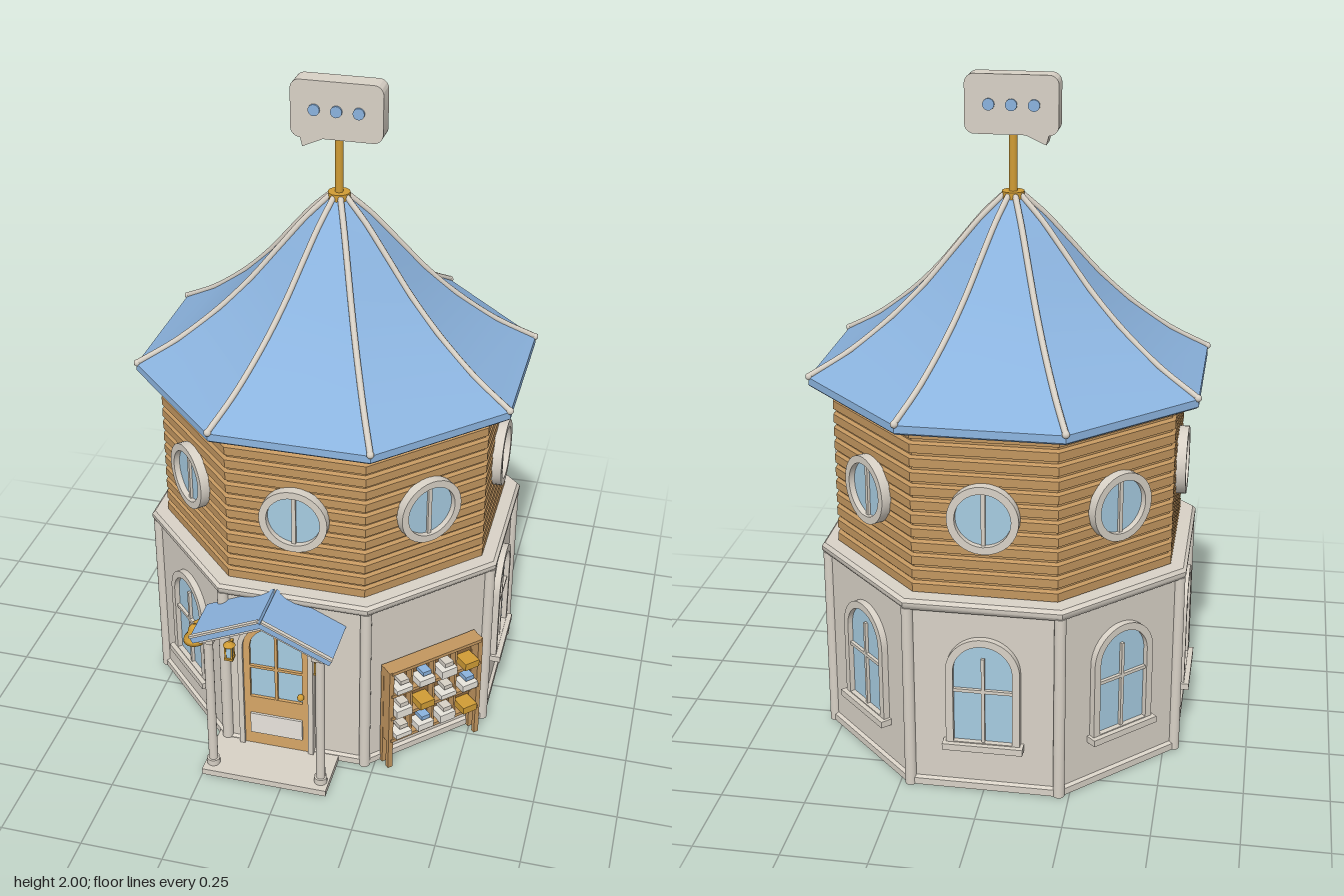
import * as THREE from 'three';
import { toCreasedNormals } from 'three/addons/utils/BufferGeometryUtils.js';

const paint = (name, color) => Object.assign(new THREE.MeshStandardMaterial({ color }), { name });
const M = {
  plaster: paint('plaster', 0xd8d1c6),
  roof: paint('roof blue', 0x8bb3de),
  siding: paint('siding wood', 0xc2965f),
  door: paint('door wood', 0xd6a666),
  dark: paint('dark wood', 0x8f6a40),
  gold: paint('brass', 0xd09c35),
  glass: paint('glass', 0xa6cbe0),
  white: paint('white', 0xeeeae2),
};
const COS = Math.cos(Math.PI / 8);
const WALL = 0.53, UPPER = 0.5, CZ = -0.065; // wall distances from the axis, axis position

function add(parent, name, geo, mat, x = 0, y = 0, z = 0) {
  const m = new THREE.Mesh(geo, mat);
  m.name = name;
  m.position.set(x, y, z);
  parent.add(m);
  return m;
}
function group(parent, name) {
  const g = new THREE.Group();
  g.name = name;
  parent.add(g);
  return g;
}
const box = (p, name, mat, w, h, d, x, y, z) => add(p, name, new THREE.BoxGeometry(w, h, d), mat, x, y, z);
const rod = (p, name, mat, r, h, x, y, z, r2 = r) => add(p, name, new THREE.CylinderGeometry(r, r2, h, 16), mat, x, y, z);
const v = (a) => new THREE.Vector3(...a);
const tube = (p, name, mat, pts, r, n = 24) =>
  add(p, name, new THREE.TubeGeometry(new THREE.CatmullRomCurve3(pts.map(v)), n, r, 8), mat);

// eight-sided solid from [distance to flat side, height] points, bottom to top
function octagon(p, name, mat, pts, crease = 0.3) {
  const geo = new THREE.LatheGeometry(pts.map(([a, y]) => new THREE.Vector2(a / COS, y)), 8, Math.PI / 8);
  return add(p, name, toCreasedNormals(geo, crease), mat);
}
function extrude(p, name, mat, shape, depth, z = 0) {
  const geo = new THREE.ExtrudeGeometry(shape, { depth, bevelEnabled: false, curveSegments: 16 });
  return add(p, name, toCreasedNormals(geo, 0.5), mat, 0, 0, z);
}
// round-headed outline
function arch(w, y0, y1, C = THREE.Shape) {
  const s = new C();
  s.moveTo(-w, y0);
  s.lineTo(w, y0);
  s.lineTo(w, y1 - w);
  s.absarc(0, y1 - w, w, 0, Math.PI, false);
  s.lineTo(-w, y0);
  return s;
}
function archFrame(p, name, mat, outer, inner, depth, z) {
  const s = arch(...outer);
  s.holes.push(arch(...inner, THREE.Path));
  return extrude(p, name, mat, s, depth, z);
}
// group on wall number i, its z pointing outwards
function onFace(parent, name, i, dist) {
  const g = group(parent, name), a = i * Math.PI / 4;
  g.position.set(Math.sin(a) * dist, 0, Math.cos(a) * dist);
  g.rotation.y = a;
  return g;
}

function archedWindow(g) {
  archFrame(g, 'windowFrame', M.plaster, [0.108, 0.16, 0.5], [0.086, 0.165, 0.478], 0.02, 0);
  extrude(g, 'windowGlass', M.glass, arch(0.09, 0.163, 0.482), 0.004, 0);
  box(g, 'mullion', M.plaster, 0.01, 0.27, 0.012, 0, 0.3, 0.008);
  box(g, 'crossbar', M.plaster, 0.172, 0.01, 0.012, 0, 0.33, 0.008);
  box(g, 'sill', M.plaster, 0.235, 0.02, 0.035, 0, 0.152, 0.0175);
}
function roundWindow(g) {
  const s = new THREE.Shape().absarc(0, 0, 0.102, 0, Math.PI * 2);
  s.holes.push(new THREE.Path().absarc(0, 0, 0.08, 0, Math.PI * 2));
  extrude(g, 'roundFrame', M.plaster, s, 0.03).position.y = 0.86;
  add(g, 'roundGlass', new THREE.CircleGeometry(0.085, 32), M.glass, 0, 0.86, 0.012);
  box(g, 'roundMullion', M.plaster, 0.012, 0.16, 0.012, 0, 0.86, 0.014);
}

function doorway(g) {
  archFrame(g, 'doorSurround', M.plaster, [0.118, 0.02, 0.51], [0.102, 0.02, 0.494], 0.025, 0);
  archFrame(g, 'doorLeaf', M.door, [0.104, 0.02, 0.496], [0.082, 0.205, 0.474], 0.015, 0);
  extrude(g, 'doorGlass', M.glass, arch(0.084, 0.203, 0.476), 0.005, 0);
  box(g, 'doorMullion', M.door, 0.009, 0.25, 0.01, 0, 0.33, 0.009);
  box(g, 'doorCrossbar', M.door, 0.165, 0.009, 0.01, 0, 0.32, 0.009);
  box(g, 'doorPanel', M.white, 0.165, 0.075, 0.008, 0, 0.105, 0.018);
  add(g, 'doorKnob', new THREE.SphereGeometry(0.011, 12, 8), M.gold, 0.08, 0.24, 0.025);
  for (const s of [-1, 1]) {
    const l = group(g, 'lantern');
    l.position.set(s * 0.14, 0.38, 0.03);
    box(l, 'lanternGlass', M.glass, 0.018, 0.042, 0.018, 0, 0, 0);
    for (const x of [-1, 1]) for (const z of [-1, 1]) box(l, 'lanternBar', M.gold, 0.005, 0.046, 0.005, x * 0.01, 0, z * 0.01);
    box(l, 'lanternBase', M.gold, 0.028, 0.007, 0.028, 0, -0.025, 0);
    rod(l, 'lanternCap', M.gold, 0.004, 0.015, 0, 0.029, 0, 0.019);
    box(l, 'lanternArm', M.gold, 0.008, 0.008, 0.03, 0, 0.02, -0.018);
  }
}

function porch(root) {
  const g = group(root, 'porch');
  g.position.x = -0.055;
  box(g, 'porchStep', M.plaster, 0.39, 0.02, 0.19, 0, 0.01, 0.54);
  for (const s of [-1, 1]) {
    rod(g, 'porchPost', M.plaster, 0.014, 0.49, s * 0.17, 0.26, 0.595);
    rod(g, 'postFoot', M.plaster, 0.02, 0.02, s * 0.17, 0.03, 0.595);
    box(g, 'postCap', M.plaster, 0.042, 0.015, 0.042, s * 0.17, 0.5, 0.595);
    box(g, 'porchBeam', M.plaster, 0.022, 0.022, 0.15, s * 0.17, 0.507, 0.54);
    // sloping roof half and its pale edges
    const slope = group(g, 'porchRoofHalf');
    slope.position.set(s * 0.105, 0.557, 0);
    slope.rotation.z = -s * 0.43;
    box(slope, 'porchRoof', M.roof, 0.232, 0.022, 0.165, 0, 0, 0.5475);
    box(slope, 'porchVerge', M.plaster, 0.232, 0.007, 0.012, 0, 0.0125, 0.628);
    box(slope, 'bargeBoard', M.plaster, 0.21, 0.01, 0.01, -s * 0.005, -0.016, 0.618);
  }
}

function bell(root) {
  const g = group(root, 'bell');
  tube(g, 'bellBracket', M.gold, [[-0.22, 0.485, 0.465], [-0.26, 0.492, 0.495], [-0.295, 0.485, 0.52]], 0.005);
  const prof = [[0.025, 0.423], [0.034, 0.421], [0.032, 0.432], [0.021, 0.445], [0.017, 0.466], [0.009, 0.476], [0, 0.478]];
  const geo = new THREE.LatheGeometry(prof.map((p) => new THREE.Vector2(...p)), 20);
  add(g, 'bellBody', geo, M.gold, -0.295, 0, 0.52);
  add(g, 'bellMouth', new THREE.CircleGeometry(0.027, 20).rotateX(Math.PI / 2), M.gold, -0.295, 0.424, 0.52);
  add(g, 'bellClapper', new THREE.SphereGeometry(0.008, 10, 8), M.gold, -0.295, 0.418, 0.52);
}

function shelf(g) {
  box(g, 'shelfBack', M.dark, 0.32, 0.26, 0.01, 0, 0.235, 0.012);
  for (const s of [-1, 1]) {
    box(g, 'shelfSide', M.siding, 0.014, 0.27, 0.05, s * 0.16, 0.235, 0.03);
    for (const z of [0.014, 0.048]) box(g, 'shelfLeg', M.siding, 0.016, 0.37, 0.014, s * 0.16, 0.185, z);
  }
  for (let r = 0; r < 4; r++) box(g, 'shelfBoard', M.siding, 0.32, 0.011, 0.052, 0, 0.105 + r * 0.0865, 0.032);
  for (let c = -1; c < 2; c++) box(g, 'shelfDivider', M.siding, 0.007, 0.26, 0.035, c * 0.08, 0.235, 0.025);
  for (let r = 0; r < 3; r++) for (let c = 0; c < 4; c++) {
    const x = -0.12 + c * 0.08, y = 0.111 + r * 0.0865, k = (r * 2 + c) % 4;
    if (k === 3) {
      box(g, 'goldParcel', M.gold, 0.05, 0.024, 0.055, x, y + 0.012, 0.045);
    } else {
      box(g, 'whiteParcel', M.white, 0.055, 0.016 + k * 0.006, 0.05, x, y + 0.011, 0.043);
      box(g, 'smallParcel', k === 1 ? M.roof : M.plaster, 0.03, 0.014, 0.04, x + 0.006, y + 0.034, 0.036);
    }
  }
}

function sign(g) {
  rod(g, 'signPole', M.gold, 0.012, 0.19, 0, 1.735, 0);
  rod(g, 'poleCollar', M.gold, 0.033, 0.022, 0, 1.652, 0);
  const s = new THREE.Shape(), w = 0.135, t = 2, b = 1.83, r = 0.028, H = Math.PI / 2;
  s.moveTo(-0.1, 1.803);
  s.lineTo(-0.04, b);
  s.absarc(w - r, b + r, r, -H, 0, false);
  s.absarc(w - r, t - r, r, 0, H, false);
  s.absarc(-w + r, t - r, r, H, 2 * H, false);
  s.absarc(-w + r, b + r, r, 2 * H, 3 * H, false);
  s.closePath();
  extrude(g, 'signBoard', M.plaster, s, 0.064, -0.032);
  for (const x of [-0.065, 0, 0.065]) rod(g, 'signDot', M.roof, 0.017, 0.078, x, 1.915, 0).rotation.x = H;
}

export function createModel() {
  const root = new THREE.Group();
  root.name = 'tower house';
  const tower = group(root, 'tower');
  tower.position.z = CZ;

  // ground floor with mouldings
  octagon(tower, 'lowerWall', M.plaster, [[0, 0], [WALL, 0], [WALL, 0.6], [0, 0.6]]);
  octagon(tower, 'plinth', M.plaster, [[WALL, 0.001], [0.54, 0.001], [0.54, 0.022], [WALL, 0.028]]);
  octagon(tower, 'ledge', M.plaster, [[0.525, 0.572], [0.54, 0.576], [0.549, 0.588], [0.549, 0.6], [0.54, 0.61], [0.48, 0.612]], 0.7);

  // upper floor in overlapping boards
  const boards = [], rows = 12, h = 0.51 / rows;
  for (let i = 0; i < rows; i++) {
    const y = 0.61 + i * h;
    boards.push([UPPER - 0.008, y], [UPPER + 0.002, y + 0.004], [UPPER + 0.002, y + h * 0.7], [UPPER - 0.008, y + h * 0.85]);
  }
  octagon(tower, 'siding', M.siding, boards, 0.1);

  // roof with flared eaves
  const slope = [[0.565, 1.142], [0.45, 1.212], [0.33, 1.31], [0.24, 1.402], [0.16, 1.5], [0.09, 1.585], [0.025, 1.65]];
  octagon(tower, 'roof', M.roof, [[0.48, 1.118], [0.56, 1.114], [0.566, 1.12], ...slope, [0, 1.655]], 0.25);
  for (let i = 0; i < 8; i++) {
    const a = (i + 0.5) * Math.PI / 4, sx = Math.sin(a) / COS, sz = Math.cos(a) / COS;
    tube(tower, 'roofRib', M.plaster, slope.map(([d, y]) => [d * sx, y + 0.003, d * sz]), 0.009, 32);
    add(tower, 'ribEnd', new THREE.SphereGeometry(0.011, 10, 8), M.plaster, 0.563 * sx, 1.145, 0.563 * sz);
    rod(tower, 'cornerPost', M.plaster, 0.017, 0.58, WALL * sx, 0.29, WALL * sz);
    roundWindow(onFace(tower, 'roundWindow', i, UPPER));
    if (i > 1) archedWindow(onFace(tower, 'archedWindow', i, WALL));
  }
  shelf(onFace(tower, 'displayShelf', 1, WALL));
  const door = onFace(tower, 'doorway', 0, WALL);
  door.position.x = -0.055;
  doorway(door);
  sign(group(tower, 'sign'));
  porch(root);
  bell(root);
  return root;
}
